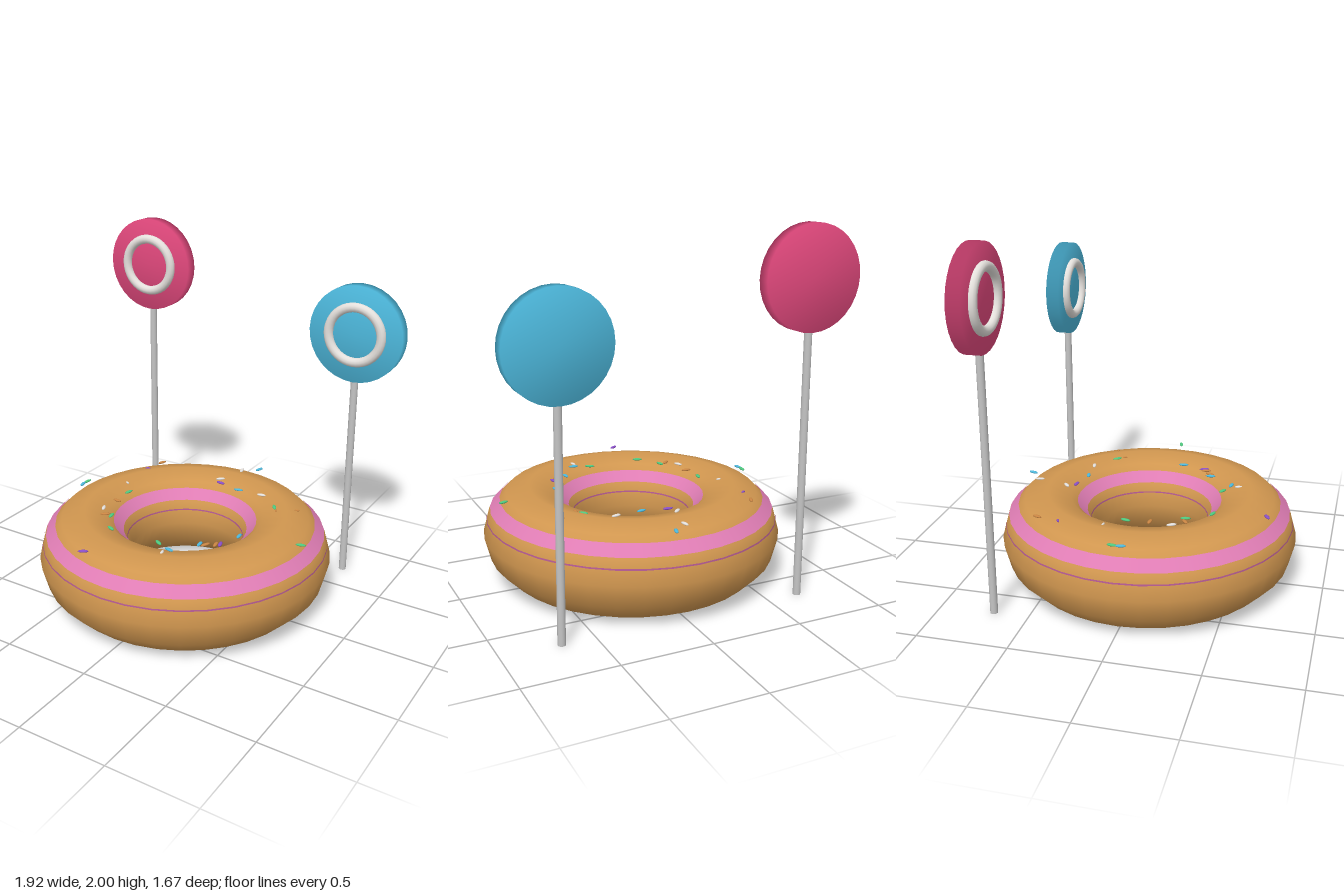
import * as THREE from 'three';
import { mergeVertices } from 'three/addons/utils/BufferGeometryUtils.js';

const mat = (name, color) => new THREE.MeshStandardMaterial({ name, color });

export function createModel() {
  const group = new THREE.Group();
  const M = {
    dough: mat('dough', 0xd0964f),
    icing: mat('pink icing', 0xdf7db4),
    icingEdge: mat('icing edge', 0xb0588f),
    berry: mat('berry candy', 0xe0487c),
    blue: mat('blue candy', 0x4db8dc),
    white: mat('white sugar', 0xe4e0dc),
    stick: mat('stick', 0xc4c4c4),
    green: mat('green sprinkle', 0x4fc97f),
    purple: mat('purple sprinkle', 0x8a4fc8),
    orange: mat('orange sprinkle', 0xc98543),
  };
  const add = (parent, name, geometry, material, x = 0, y = 0, z = 0) => {
    const mesh = new THREE.Mesh(geometry, material);
    mesh.name = name;
    mesh.position.set(x, y, z);
    parent.add(mesh);
    return mesh;
  };

  // Doughnut ring lying flat
  const R = 0.575, r = 0.26, segs = 36;
  const donut = new THREE.Group();
  donut.name = 'doughnut';
  donut.position.set(-0.015, r, 0);
  group.add(donut);
  add(donut, 'dough', new THREE.TorusGeometry(R, r, 12, segs).rotateX(-Math.PI / 2), M.dough);

  // Icing bands hug the outer and inner flanks; heights are above the ring's centre
  const flank = (y) => {
    const y1 = r * 0.5, y2 = r * 0.866;
    return y < y1 ? r - (r - y2) * (y / y1) : y2 - (y2 - y1) * ((y - y1) / (y2 - y1));
  };
  const band = (name, lo, hi, material) => {
    for (const side of [1, -1]) {
      const pts = [lo, hi].map((y) => new THREE.Vector2(R + side * (flank(y) + 0.004), y + 0.002));
      if (side < 0) pts.reverse();
      add(donut, (side > 0 ? 'outer ' : 'inner ') + name, new THREE.LatheGeometry(pts, segs), material);
    }
  };
  band('icing band', 0.138, 0.193, M.icing);
  band('icing line', 0.079, 0.087, M.icingEdge);

  // Sprinkles: colour, x, z, direction x, direction z, size
  const sprinkle = new THREE.SphereGeometry(1, 10, 6).scale(0.029, 0.007, 0.011);
  [
    ['blue', 0.075, -0.73, 0.3, -1, 1], ['white', -0.01, -0.66, 0.2, 1, 1],
    ['white', -0.06, -0.48, 0.7, -0.6, 1], ['orange', -0.5, -0.5, 0.4, -1, 1],
    ['purple', -0.03, -0.43, 1, 0.1, 1], ['blue', 0.11, -0.4, 1, -0.2, 1],
    ['white', 0.26, -0.41, 1, -0.2, 1], ['purple', -0.525, -0.375, 1, -0.5, 0.6],
    ['green', 0.4, -0.305, 0.7, 1, 1], ['orange', 0.43, -0.265, 0.5, 1, 0.5],
    ['orange', 0.53, -0.335, 1, -0.3, 0.5], ['white', -0.51, -0.13, 1, 0.3, 0.5],
    ['green', -0.43, -0.03, 0.2, -1, 1], ['green', -0.73, -0.02, -0.1, 1, 1],
    ['blue', -0.73, 0.025, 0.2, 1, 1], ['orange', -0.42, 0.1, 1, 0.1, 1],
    ['blue', 0.4, 0.11, 0.1, 1, 1], ['green', 0.73, 0.025, 1, -0.3, 1],
    ['white', -0.43, 0.22, 0.5, 1, 1], ['orange', -0.375, 0.28, 0.8, -0.6, 1],
    ['green', -0.335, 0.275, 0.2, 1, 1], ['purple', 0.36, 0.245, 0.3, 1, 1],
    ['orange', 0.34, 0.26, 0.2, 1, 1], ['orange', 0.295, 0.29, 0.5, -1, 1],
    ['blue', 0.265, 0.3, 0.1, 1, 1], ['green', -0.245, 0.405, 1, 0.4, 1],
    ['green', 0.07, 0.405, 1, 0.6, 1], ['blue', 0.16, 0.44, 1, 0.2, 1],
    ['white', 0.145, 0.485, 0.3, 1, 0.8], ['purple', -0.215, 0.695, 1, -0.6, 1],
  ].forEach(([color, x, z, dx, dz, size]) => {
    const s = add(group, 'sprinkle', sprinkle, M[color], x, 0.505, z);
    s.rotation.y = Math.atan2(-dz, dx);
    s.scale.set(size, 1, size);
  });

  // Candy disc with softened normals across its rim
  let disc = new THREE.CylinderGeometry(0.277, 0.277, 0.073, 32).rotateX(Math.PI / 2);
  disc.deleteAttribute('normal');
  disc.deleteAttribute('uv');
  disc = mergeVertices(disc);
  disc.computeVertexNormals();
  const ring = new THREE.TorusGeometry(0.157, 0.027, 12, 40);

  // Lollipops standing behind the doughnut
  const lollipop = (name, x, y, material) => {
    const pop = new THREE.Group();
    pop.name = name;
    pop.position.set(x, 0, -0.697);
    group.add(pop);
    const h = y - 0.2;
    add(pop, 'stick', new THREE.CylinderGeometry(0.021, 0.021, h, 16), M.stick, 0, h / 2, 0);
    add(pop, 'candy disc', disc, material, 0, y, 0);
    add(pop, 'sugar ring', ring, M.white, 0, y, 0.044);
  };
  lollipop('rightLollipop', -0.685, 1.723, M.berry);
  lollipop('leftLollipop', 0.682, 1.49, M.blue);

  return group;
}
